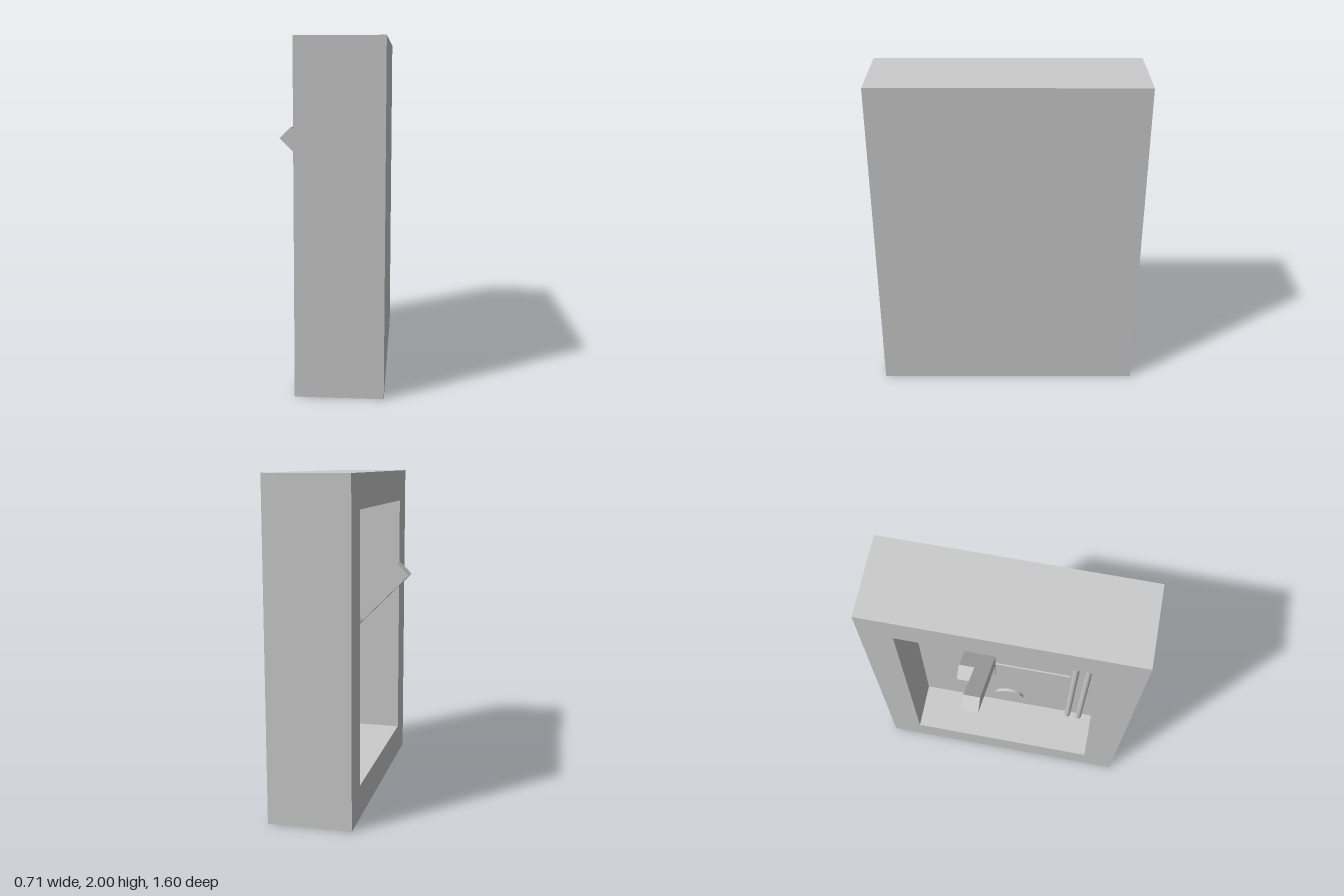
import * as THREE from 'three';

const material = new THREE.MeshStandardMaterial({ color: 0xcccccc });
const FRONT = -0.15; // open side of the case
const WALL = 0.15;   // inner back wall of the recess

export function createModel() {
  const model = new THREE.Group();

  function add(name, geometry, x, y, z) {
    const mesh = new THREE.Mesh(geometry, material);
    mesh.name = name;
    mesh.position.set(x, y, z);
    model.add(mesh);
    return mesh;
  }

  function rectangle(target, halfWidth, bottom, top) {
    target.moveTo(-halfWidth, bottom);
    target.lineTo(halfWidth, bottom);
    target.lineTo(halfWidth, top);
    target.lineTo(-halfWidth, top);
    target.closePath();
    return target;
  }

  // Case: rectangular rim around the recess, closed by a thick back slab
  const outline = rectangle(new THREE.Shape(), 0.8, 0, 2);
  outline.holes.push(rectangle(new THREE.Path(), 0.6, 0.2, 1.8));
  const rim = new THREE.ExtrudeGeometry(outline, { depth: WALL - FRONT, bevelEnabled: false });
  rim.rotateY(Math.PI / 2);
  add('caseRim', rim, FRONT, 0, 0);
  add('caseBack', new THREE.BoxGeometry(0.2, 2, 1.6), 0.25, 1, 0);

  // Two levers side by side, sloping up and out of the recess at 45 degrees
  function lever(name, endX, endY, z) {
    const length = (0.2 - endX) * Math.SQRT2;
    const mesh = add(name, new THREE.BoxGeometry(0.1, length, 0.1),
      (endX + 0.2) / 2, endY - (0.2 - endX) / 2, z);
    mesh.rotation.z = Math.PI / 4;
  }
  lever('longLever', -0.32, 1.425, -0.145);
  lever('shortLever', -0.04, 1.145, -0.245);

  // Vertical rods against the back wall
  for (const z of [0.43, 0.51]) {
    add('rod', new THREE.CylinderGeometry(0.02, 0.02, 1.6, 24), WALL - 0.02, 1, z);
  }

  // Flattened round buttons
  for (const y of [1.5, 1.35]) {
    add('button', new THREE.SphereGeometry(0.05, 32, 20), WALL, y, 0.25).scale.x = 0.45;
  }

  // Round dial
  const dial = add('dial', new THREE.CylinderGeometry(0.1, 0.1, 0.04, 40), WALL, 0.36, 0);
  dial.rotation.z = Math.PI / 2;

  // Thin strips running from the base of the lever
  add('horizontalStrip', new THREE.BoxGeometry(0.02, 0.012, 0.5), WALL, 0.91, 0.15);
  add('verticalStrip', new THREE.BoxGeometry(0.02, 0.22, 0.012), WALL, 0.8, -0.1);

  return model;
}
